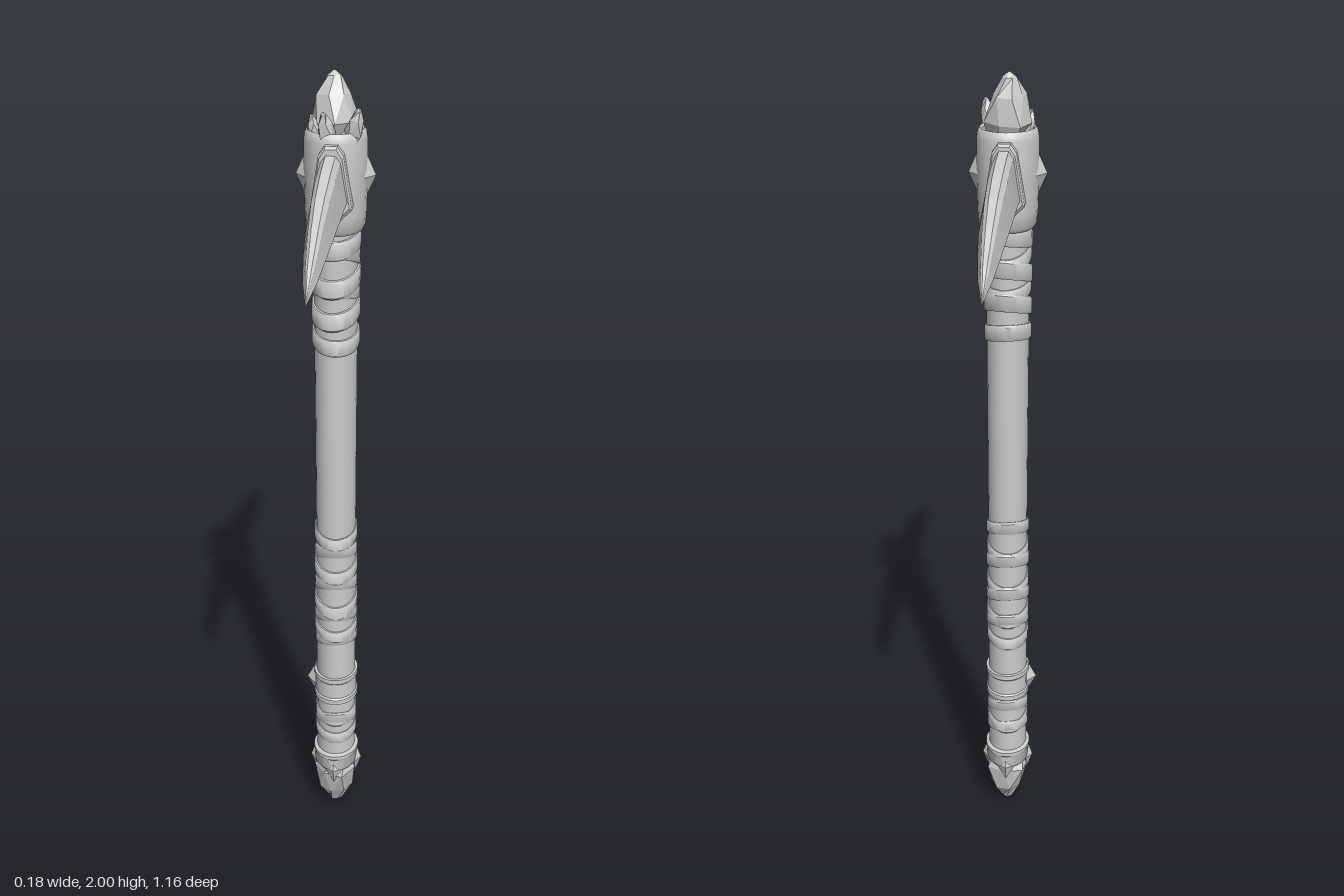
import * as THREE from 'three';
import { toCreasedNormals } from 'three/addons/utils/BufferGeometryUtils.js';

const smooth = new THREE.MeshStandardMaterial({ color: 0xcccccc });
const faceted = new THREE.MeshStandardMaterial({ color: 0xcccccc, flatShading: true });
const AXIS_Z = 0.03; // the handle sits slightly forward of the centre
const OVAL = 0.82;   // handle width relative to its depth

// Skin a series of equal-length rings (counter-clockwise in xy, advancing along z)
function loft(rings) {
  const n = rings[0].length, pos = [];
  const tri = (a, b, c) => pos.push(...a, ...b, ...c);
  for (let k = 0; k < rings.length - 1; k++) {
    for (let i = 0; i < n; i++) {
      const j = (i + 1) % n, a = rings[k], b = rings[k + 1];
      tri(a[i], a[j], b[j]);
      tri(a[i], b[j], b[i]);
    }
  }
  const first = rings[0], last = rings[rings.length - 1];
  for (let i = 1; i < n - 1; i++) {
    tri(first[0], first[i + 1], first[i]);
    tri(last[0], last[i], last[i + 1]);
  }
  const g = new THREE.BufferGeometry();
  g.setAttribute('position', new THREE.Float32BufferAttribute(pos, 3));
  g.computeVertexNormals();
  return g;
}

// Oval turned part from [radius, y] pairs, sheared by slope along z
function turned(profile, slope = 0, twist = 0) {
  const g = new THREE.LatheGeometry(profile.map(([r, y]) => new THREE.Vector2(r, y)), 28);
  g.scale(OVAL, 1, 1);
  const p = g.attributes.position;
  for (let i = 0; i < p.count; i++) {
    p.setY(i, p.getY(i) + slope * p.getZ(i) + twist * p.getX(i));
  }
  return toCreasedNormals(g, 0.6);
}

// Blade cross-section: narrow spine, wide lower flank, narrow belly
const SECTION = [[0.35, 0], [1, 0.18], [0.6, 0.88], [0.3, 1],
  [-0.3, 1], [-0.6, 0.88], [-1, 0.18], [-0.35, 0]];
const section = (z, top, bottom, half) =>
  SECTION.map(([x, t]) => [x * half, bottom + (top - bottom) * t, z]);

// Rough-cut crystal standing on y = 0 with a slightly off-centre tip
function crystal(r, h, sides, lean, seed) {
  const levels = [[0.75, 0], [1, 0.3], [0.72, 0.68], [0.3, 0.93], [0.04, 1]];
  const rings = levels.map(([f, t], k) => Array.from({ length: sides }, (_, i) => {
    const a = (i + 0.35 * (k % 2)) / sides * Math.PI * 2;
    const rr = r * f * (1 + 0.1 * Math.sin(seed + i * 2.3 + k * 1.7));
    return [Math.cos(a) * rr + lean * t, Math.sin(a) * rr, h * t];
  }));
  return loft(rings).rotateX(-Math.PI / 2);
}

export function createModel() {
  const model = new THREE.Group();
  const add = (name, geometry, material, x = 0, y = 0, z = AXIS_Z) => {
    const mesh = new THREE.Mesh(geometry, material);
    mesh.name = name;
    mesh.position.set(x, y, z);
    model.add(mesh);
    return mesh;
  };

  // Handle
  add('handle', turned([[0, 0.15], [0.062, 0.15], [0.061, 0.9], [0.064, 1.7], [0, 1.7]]), smooth);

  // Cloth strips: [centre y, half height, slope, outer radius]
  const wraps = [
    [1.385, 0.02, -0.22, 0.07], [1.455, 0.022, -0.3, 0.071], [1.5, 0.018, 0.2, 0.069],
    [1.535, 0.022, -0.3, 0.072], [1.585, 0.02, 0.4, 0.07], [1.62, 0.022, -0.2, 0.072],
    [0.86, 0.017, -0.28, 0.067], [0.805, 0.018, 0.3, 0.066], [0.765, 0.018, -0.3, 0.068],
    [0.71, 0.018, 0.35, 0.067], [0.665, 0.018, -0.35, 0.068], [0.62, 0.018, 0.28, 0.067],
    [0.59, 0.016, -0.3, 0.068], [0.55, 0.017, 0.22, 0.067],
    [0.325, 0.016, -0.3, 0.066], [0.295, 0.016, 0.35, 0.067], [0.265, 0.016, -0.2, 0.067],
  ];
  wraps.forEach(([y, h, slope, r], i) => {
    add('clothWrap', turned([[0.055, -h], [r - 0.003, -h], [r, 0.005 - h], [r, h - 0.005],
      [r - 0.003, h], [0.055, h]], slope, i % 2 ? 0.06 : -0.06), smooth, 0, y);
  });

  // Metal ring with its side stud
  add('gripRing', turned([[0.055, 0.365], [0.07, 0.365], [0.07, 0.378], [0.066, 0.382],
    [0.066, 0.425], [0.07, 0.429], [0.07, 0.442], [0.055, 0.442]]), smooth);
  add('ringStud', new THREE.OctahedronGeometry(1).scale(0.024, 0.046, 0.03), faceted, -0.053, 0.405);

  // Head collar with a recessed top
  add('headCollar', turned([[0.05, 1.645], [0.076, 1.645], [0.084, 1.656], [0.087, 1.69],
    [0.089, 1.77], [0.088, 1.855], [0.085, 1.869], [0.079, 1.876], [0.073, 1.872],
    [0.07, 1.855], [0, 1.85]]), smooth);

  for (const s of [1, -1]) {
    // Diamond studs on the collar sides
    add('collarDiamond', new THREE.OctahedronGeometry(1).scale(0.028, 0.062, 0.038),
      faceted, s * 0.064, 1.77);

    // Curved blades: [distance, top, bottom, half width]
    const stations = [[0.04, 1.845, 1.7, 0.037], [0.15, 1.836, 1.713, 0.037],
      [0.24, 1.82, 1.711, 0.036], [0.33, 1.797, 1.701, 0.032], [0.42, 1.757, 1.684, 0.025],
      [0.51, 1.703, 1.663, 0.015], [0.578, 1.646, 1.644, 0.001]];
    const blade = add(s > 0 ? 'frontBlade' : 'backBlade',
      loft(stations.map((v) => section(...v))), faceted, 0, 0, 0);
    blade.rotation.y = s > 0 ? 0 : Math.PI;

    // Socket where each blade meets the collar
    const socket = add('bladeSocket', loft([section(0.05, 1.856, 1.685, 0.047),
      section(0.105, 1.856, 1.685, 0.047), section(0.112, 1.85, 1.692, 0.042)]), faceted);
    socket.rotation.y = blade.rotation.y;
  }

  // Crystal cluster on top: [x, y, z, radius, height, tilt x, tilt z]
  const cluster = [
    [0, 1.84, 0.034, 0.056, 0.16, -0.1, 0.03],
    [0.04, 1.85, 0.068, 0.022, 0.085, 0.25, -0.2],
    [-0.012, 1.85, 0.085, 0.021, 0.078, 0.3, 0.1],
    [-0.04, 1.85, 0.058, 0.018, 0.062, 0.1, 0.2],
  ];
  cluster.forEach(([x, y, z, r, h, tx, tz], i) => {
    const c = add('topCrystal', crystal(r, h, i ? 5 : 7, 0, i * 2 + 1), faceted, x, y, z);
    c.rotation.set(tx, 0, tz);
  });

  // Pommel: cap ring, prongs and a crystal pointing down
  add('pommelCap', turned([[0, 0.145], [0.064, 0.145], [0.069, 0.152], [0.07, 0.182],
    [0.073, 0.186], [0.073, 0.196], [0.06, 0.2]]), smooth);
  const pommel = add('pommelCrystal', crystal(0.066, 0.18, 7, 0, 4), faceted, 0, 0.18);
  pommel.rotation.x = Math.PI;
  pommel.scale.x = 0.88;
  for (let i = 0; i < 4; i++) {
    const a = i * Math.PI / 2;
    const prong = add('pommelProng', new THREE.OctahedronGeometry(1).scale(0.024, 0.046, 0.016),
      faceted, Math.sin(a) * 0.053, 0.15, AXIS_Z + Math.cos(a) * 0.06);
    prong.rotation.y = a;
  }
  return model;
}
